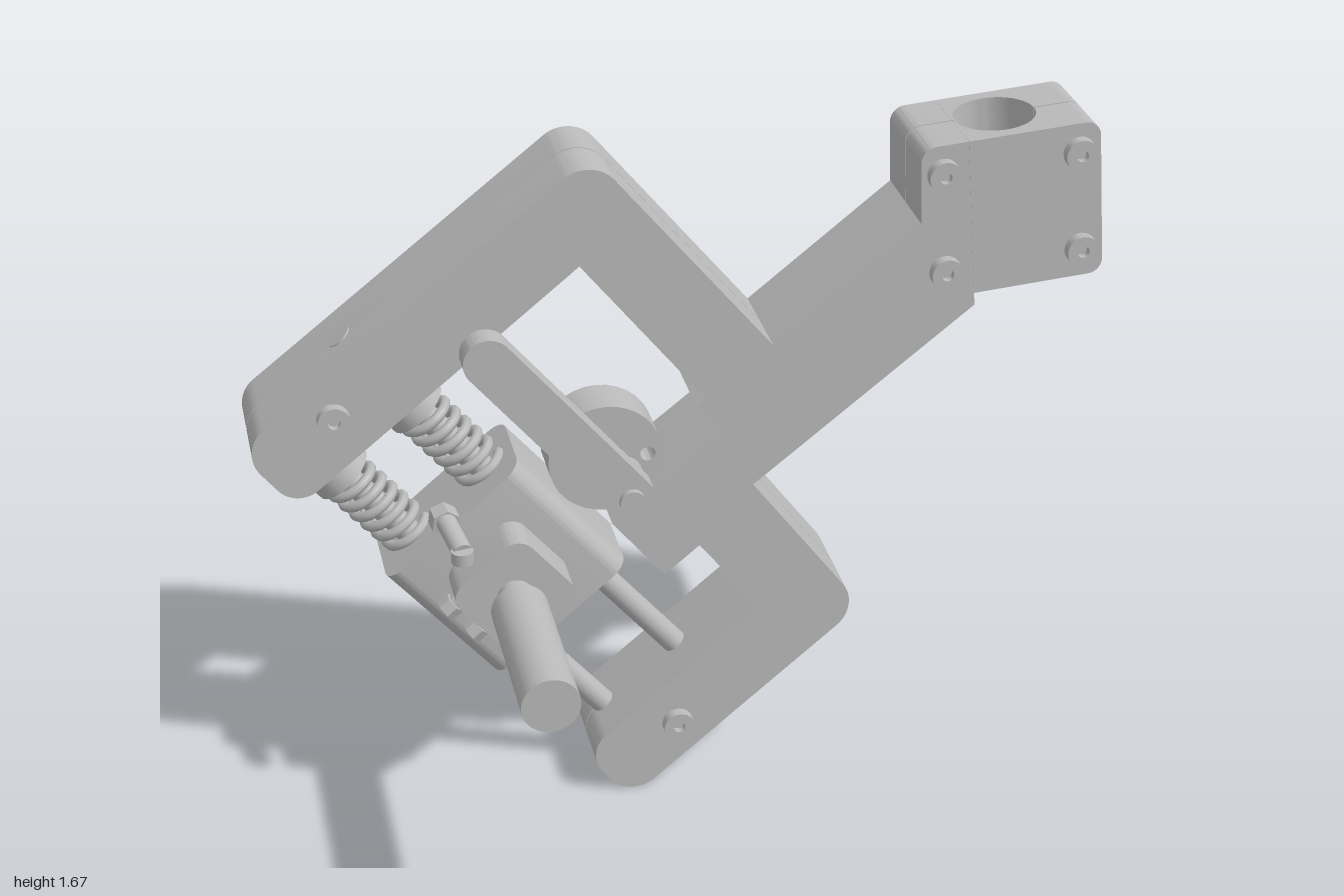
import * as THREE from 'three';
import { toCreasedNormals } from 'three/addons/utils/BufferGeometryUtils.js';

const steel = new THREE.MeshStandardMaterial({ color: 0xbababa });
steel.name = 'steel grey';

function mesh(parent, name, geo) {
  const m = new THREE.Mesh(geo, steel);
  m.name = name;
  parent.add(m);
  return m;
}

// Closed outline from [x, y, cornerRadius] points
function outline(pts) {
  const s = new THREE.Shape();
  const n = pts.length;
  pts.forEach(([x, y, r = 0], i) => {
    const p = new THREE.Vector2(x, y);
    const toward = (q, d) => p.clone().add(new THREE.Vector2(q[0] - x, q[1] - y).setLength(d));
    const prev = pts[(i + n - 1) % n], next = pts[(i + 1) % n];
    const a = toward(prev, r), b = toward(next, r);
    if (i === 0) s.moveTo(a.x, a.y); else s.lineTo(a.x, a.y);
    if (r > 0) {
      const c = toward(prev, r * 0.45), d = toward(next, r * 0.45);
      s.bezierCurveTo(c.x, c.y, d.x, d.y, b.x, b.y);
    }
  });
  s.closePath();
  return s;
}

function rect(w, h, r) {
  return outline([[-w / 2, -h / 2, r], [w / 2, -h / 2, r], [w / 2, h / 2, r], [-w / 2, h / 2, r]]);
}

function circleHole(shape, x, y, r) {
  shape.holes.push(new THREE.Path().absarc(x, y, r, 0, Math.PI * 2, true));
  return shape;
}

function extrude(shape, z0, z1) {
  const g = new THREE.ExtrudeGeometry(shape, { depth: z1 - z0, bevelEnabled: false, curveSegments: 16 });
  g.translate(0, 0, z0);
  return toCreasedNormals(g, 0.5);
}

// Bar with two round ends
function capsule(x0, y0, x1, y1, r) {
  const a = Math.atan2(y1 - y0, x1 - x0);
  const s = new THREE.Shape();
  s.absarc(x1, y1, r, a - Math.PI / 2, a + Math.PI / 2, false);
  s.absarc(x0, y0, r, a + Math.PI / 2, a + Math.PI * 1.5, false);
  return s;
}

// Cylinder between two points
function rod(parent, name, a, b, r, sides = 28) {
  const p = new THREE.Vector3(...a), q = new THREE.Vector3(...b);
  const d = q.clone().sub(p);
  const m = mesh(parent, name, new THREE.CylinderGeometry(r, r, d.length(), sides));
  if (sides === 6) m.geometry = toCreasedNormals(m.geometry, 0.5);
  m.position.copy(p).add(q).multiplyScalar(0.5);
  m.quaternion.setFromUnitVectors(new THREE.Vector3(0, 1, 0), d.normalize());
  return m;
}

const FRONT = -0.13, MID = -0.26, BACK = -0.39, GAP = 0.002;

export function createModel() {
  const model = new THREE.Group();
  model.name = 'slidingClampTool';

  // Frame: two mirrored halves, with the arm and the inner side of the clamp head
  const frame = outline([
    [-1.03, 1.05, 0.08], [-0.905, 0.89, 0.065], [-0.24, 1.43], [0.05, 1.067], [0.027, 1.05],
    [0.10, 0.975], [-0.175, 0.76], [-0.05, 0.605], [0.035, 0.675], [0.185, 0.485],
    [-0.255, 0.12, 0.075], [-0.14, -0.03, 0.08], [0.44, 0.457, 0.08], [0.165, 0.825],
    [0.69, 1.24], [0.657, 1.649], [0.546, 1.64, 0.035], [0.553, 1.457], [0.21, 1.185], [-0.208, 1.693, 0.08],
  ]);
  const halves = [['front', MID + GAP, FRONT, 1], ['back', BACK, MID - GAP, -1]];
  const head = new THREE.Group();
  head.name = 'clampHead';
  head.position.set(0.757, 1.657, 0);
  head.rotation.z = 0.08;
  model.add(head);
  const headSide = outline([[0.1, -0.38], [0.212, -0.38, 0.035], [0.212, 0, 0.035], [0.1, 0]]);
  for (const [side, z0, z1, k] of halves) {
    mesh(model, side + 'Frame', extrude(frame, z0, z1));
    mesh(head, side + 'HeadSide', extrude(headSide, z0, z1));
    // Middle of the head, with half of the tube hole
    const s = new THREE.Shape();
    s.moveTo(-0.1, k * GAP);
    s.lineTo(-0.095, k * GAP);
    s.absarc(0, k * GAP, 0.095, Math.PI, 0, k > 0);
    s.lineTo(0.1, k * GAP);
    s.lineTo(0.1, k * 0.13);
    s.lineTo(-0.1, k * 0.13);
    s.closePath();
    const m = mesh(head, side + 'HeadBore', extrude(s, 0, 0.38).rotateX(Math.PI / 2));
    m.position.z = MID;
  }

  // Frame bolts: socket head in front, nut and thread end behind
  const socket = [[0.001, 0.008], [0.014, 0.008], [0.014, 0.026], [0.038, 0.026], [0.038, 0]]
    .reverse().map(([x, y]) => new THREE.Vector2(x, y));
  for (const [x, y] of [[-0.81, 1.11], [-0.02, 0.18], [0.6, 1.575], [0.922, 1.6], [0.615, 1.333], [0.94, 1.36]]) {
    const g = toCreasedNormals(new THREE.LatheGeometry(socket, 24), 0.5).rotateX(Math.PI / 2);
    mesh(model, 'boltHead', g).position.set(x, y, FRONT);
    rod(model, 'nut', [x, y, BACK], [x, y, -0.42], 0.04, 6);
    rod(model, 'boltEnd', [x, y, -0.42], [x, y, -0.445], 0.021);
  }

  // Slider group: local y runs along the guide rods
  const slider = new THREE.Group();
  slider.name = 'slider';
  slider.position.set(-0.425, 0.653, MID);
  slider.rotation.z = 0.7;
  model.add(slider);

  for (const x of [-0.118, 0.118]) {
    rod(slider, 'guideRod', [x, -0.7, 0], [x, 0.685, 0], 0.03);
    rod(slider, 'springCollar', [x, 0.42, 0], [x, 0.5, 0], 0.075);
    const pts = [];
    for (let i = 0; i <= 96; i++) {
      const a = (i / 96) * Math.PI * 2 * 6;
      pts.push(new THREE.Vector3(x + Math.cos(a) * 0.054, 0.195 + 0.225 * i / 96, Math.sin(a) * 0.054));
    }
    mesh(slider, 'spring', new THREE.TubeGeometry(new THREE.CatmullRomCurve3(pts), 240, 0.0125, 8));
  }

  // Slider block with a round pocket in its back
  const block = outline([
    [-0.209, -0.12, 0.045], [-0.1, -0.12], [-0.1, 0], [0.1, 0], [0.1, -0.12],
    [0.209, -0.12, 0.045], [0.209, 0.125, 0.045], [-0.209, 0.125, 0.045],
  ]);
  mesh(slider, 'sliderBlock', extrude(block, -0.193, 0.193).rotateX(Math.PI / 2));
  mesh(slider, 'blockPocket', extrude(circleHole(rect(0.2, 0.386, 0), 0, 0, 0.085), -0.12, 0));
  rod(slider, 'pocketNut', [0, 0, 0], [0, 0, -0.06], 0.065, 6);

  // Boss, handle and boss screws
  mesh(slider, 'boss', extrude(rect(0.225, 0.225, 0.045), 0.12, 0.23));
  rod(slider, 'handleStem', [0, 0, 0.23], [0, 0, 0.3], 0.043);
  rod(slider, 'handle', [0, 0, 0.29], [0, 0, 0.705], 0.067, 40);
  for (const y of [0.06, -0.03]) {
    rod(slider, 'bossScrew', [-0.15, y, 0.17], [-0.08, y, 0.17], 0.018);
    rod(slider, 'bossScrewHead', [-0.155, y, 0.17], [-0.125, y, 0.17], 0.028, 6);
  }
  rod(slider, 'lockNut', [-0.075, -0.145, 0.155], [-0.075, -0.105, 0.155], 0.032, 6);
  rod(slider, 'lockScrew', [-0.075, -0.165, 0.155], [-0.075, -0.1, 0.155], 0.018);

  // Small tilted catch pin beside the boss
  rod(model, 'catchPin', [-0.575, 0.835, -0.13], [-0.548, 0.805, 0.005], 0.024);
  rod(model, 'catchHead', [-0.55, 0.785, 0.01], [-0.55, 0.815, 0.01], 0.026);
  rod(model, 'catchFoot', [-0.575, 0.83, -0.14], [-0.57, 0.825, -0.1], 0.035, 6);

  // Cam disc, its lever and pivot
  const disc = new THREE.Shape().absarc(-0.187, 0.933, 0.135, 0, Math.PI * 2);
  mesh(model, 'camDisc', extrude(circleHole(disc, -0.087, 0.935, 0.018), -0.25, -0.135));
  mesh(model, 'camLever', extrude(capsule(-0.47, 1.27, -0.15, 0.885, 0.057), -0.07, -0.01));
  rod(model, 'leverSpacer', [-0.15, 0.885, -0.14], [-0.15, 0.885, -0.07], 0.05);
  rod(model, 'leverPin', [-0.15, 0.885, -0.01], [-0.15, 0.885, 0.005], 0.03);

  // Link from the cam pin to the slider block
  mesh(model, 'camLink', extrude(capsule(-0.2, 0.835, -0.3, 0.76, 0.05), -0.34, -0.27));
  rod(model, 'camPin', [-0.2, 0.835, -0.13], [-0.2, 0.835, -0.41], 0.022);
  rod(model, 'camPinHead', [-0.2, 0.835, -0.405], [-0.2, 0.835, -0.42], 0.034);

  return model;
}
